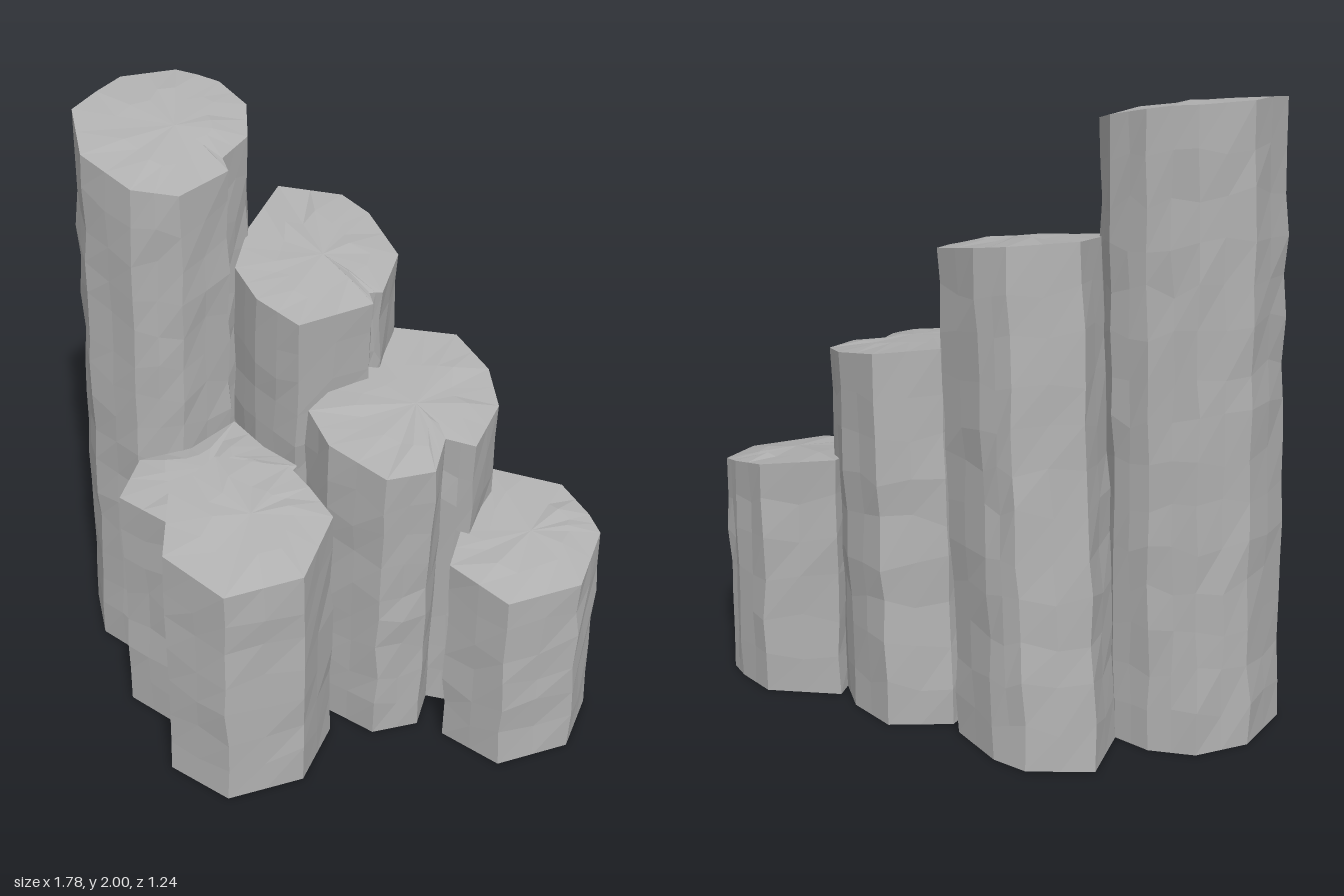
import * as THREE from 'three';

// small seeded generator for the chiselled surface, returns -1..1
function seeded(seed) {
  let s = seed;
  return () => {
    s = (s * 16807) % 2147483647;
    return (s / 2147483647) * 2 - 1;
  };
}

// Each column: top outline [x, z] (left, back, right, front), slanted top plane, shift of its base
const columns = [
  { name: 'tallColumn', height: 1.935, slope: [-0.22, -0.13], base: [-0.045, 0],
    outline: [[-0.84, -0.1], [-0.74, -0.25], [-0.6, -0.3], [-0.47, -0.28], [-0.37, -0.17],
      [-0.36, -0.04], [-0.31, -0.01], [-0.34, 0.18], [-0.46, 0.265], [-0.67, 0.26], [-0.83, 0.13]] },
  { name: 'secondColumn', height: 1.53, slope: [-0.17, -0.13], base: [-0.12, -0.085],
    outline: [[-0.46, -0.42], [-0.28, -0.53], [-0.16, -0.52], [0.03, -0.43], [0.1, -0.26],
      [0.07, -0.23], [0.11, -0.2], [0, 0.03], [-0.17, 0.03], [-0.31, -0.03], [-0.4, -0.2]] },
  { name: 'thirdColumn', height: 1.15, slope: [-0.17, -0.12], base: [-0.045, -0.02],
    outline: [[0, -0.46], [0.17, -0.575], [0.34, -0.52], [0.46, -0.41], [0.51, -0.22],
      [0.42, -0.18], [0.48, -0.05], [0.39, 0.08], [0.17, 0.09], [0.03, 0.02], [0.02, -0.22]] },
  { name: 'shortColumn', height: 0.745, slope: [-0.17, -0.12], base: [0, -0.005],
    outline: [[0.38, -0.5], [0.6, -0.605], [0.74, -0.56], [0.81, -0.52], [0.885, -0.3],
      [0.76, -0.08], [0.53, -0.08], [0.47, -0.22]] },
  { name: 'frontColumn', height: 0.92, slope: [-0.2, -0.15], base: [-0.005, 0],
    outline: [[-0.2, 0.21], [0, 0.08], [0.1, 0.1], [0.23, 0.14], [0.31, 0.38],
      [0.18, 0.605], [-0.06, 0.615], [-0.21, 0.42]] },
  { name: 'middleColumn', height: 0.91, slope: [0, -0.2], base: [0, 0],
    outline: [[-0.46, 0.29], [-0.35, 0.16], [-0.31, -0.01], [-0.15, 0.03], [0, 0.04],
      [0.02, 0.28], [-0.2, 0.45], [-0.4, 0.45]] },
];

function columnGeometry({ outline, height, slope, base }, seed) {
  const rand = seeded(seed);
  const count = outline.length;
  const cx = outline.reduce((sum, p) => sum + p[0], 0) / count;
  const cz = outline.reduce((sum, p) => sum + p[1], 0) / count;
  const topY = (x, z) => height + slope[0] * (x - cx) + slope[1] * (z - cz);

  // corners plus a midpoint on each edge
  const ring = [];
  outline.forEach((p, i) => {
    const q = outline[(i + 1) % count];
    ring.push(p, [(p[0] + q[0]) / 2, (p[1] + q[1]) / 2]);
  });
  const n = ring.length;
  const levels = Math.max(6, Math.round(height / 0.13));
  const positions = [];
  const index = [];

  // stacked cross-sections with slight roughness
  for (let l = 0; l <= levels; l++) {
    const t = l / levels;
    const rough = l === 0 || l === levels ? 0 : 0.006;
    const swell = 1 + rough * 1.5 * rand();
    ring.forEach(([x, z]) => {
      const y = topY(x, z) * t + rough * 4 * rand();
      positions.push(
        cx + (x - cx) * swell + base[0] * (1 - t) + rough * rand(),
        Math.min(2, y),
        cz + (z - cz) * swell + base[1] * (1 - t) + rough * rand());
    });
  }
  for (let l = 0; l < levels; l++) {
    for (let j = 0; j < n; j++) {
      const a = l * n + j;
      const b = l * n + ((j + 1) % n);
      index.push(b, a, a + n, b, a + n, b + n);
    }
  }

  // broken, slightly domed top
  const rim = levels * n;
  const inner = positions.length / 3;
  ring.forEach(([x, z]) => {
    const k = 0.55 + 0.12 * rand();
    const px = cx + (x - cx) * k;
    const pz = cz + (z - cz) * k;
    positions.push(px, Math.min(2, topY(px, pz) + 0.012 + 0.007 * rand()), pz);
  });
  const topCentre = positions.length / 3;
  positions.push(cx, topY(cx, cz) + 0.018, cz);
  const baseCentre = topCentre + 1;
  positions.push(cx + base[0], 0, cz + base[1]);
  for (let j = 0; j < n; j++) {
    const k = (j + 1) % n;
    index.push(rim + k, rim + j, inner + j, rim + k, inner + j, inner + k);
    index.push(topCentre, inner + k, inner + j);
    index.push(baseCentre, j, k);
  }

  const geometry = new THREE.BufferGeometry();
  geometry.setAttribute('position', new THREE.Float32BufferAttribute(positions, 3));
  geometry.setIndex(index);
  const faceted = geometry.toNonIndexed();
  faceted.computeVertexNormals();
  return faceted;
}

export function createModel() {
  const group = new THREE.Group();
  group.name = 'basaltColumns';
  const stone = new THREE.MeshStandardMaterial({ color: 0xb0b0b0 });
  stone.name = 'grey stone';
  columns.forEach((column, i) => {
    const mesh = new THREE.Mesh(columnGeometry(column, 1234 + i * 7919), stone);
    mesh.name = column.name;
    group.add(mesh);
  });
  return group;
}
